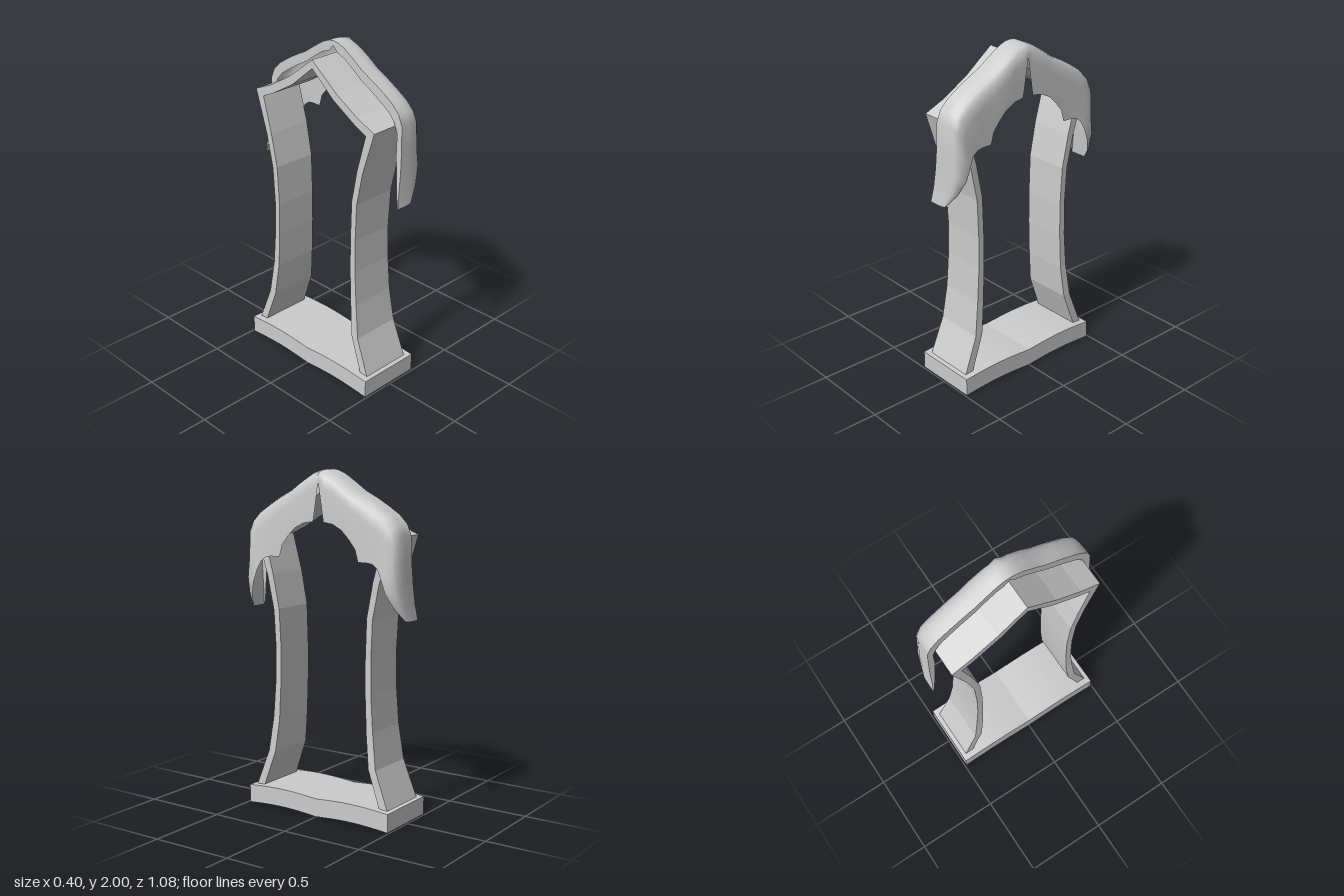
import * as THREE from 'three';

const grey = (opts = {}) => new THREE.MeshStandardMaterial({ color: 0xcccccc, ...opts });

function mesh(name, geometry, material) {
  const m = new THREE.Mesh(geometry, material);
  m.name = name;
  return m;
}

// Skin a list of equal-length cross-sections; closed joins each section end to start
function loft(sections, closed) {
  const n = sections[0].length, steps = closed ? n : n - 1, index = [];
  for (let i = 0; i < sections.length - 1; i++) {
    for (let j = 0; j < steps; j++) {
      const a = i * n + j, b = i * n + (j + 1) % n;
      index.push(a, b, b + n, a, b + n, a + n);
    }
  }
  const g = new THREE.BufferGeometry();
  g.setAttribute('position', new THREE.Float32BufferAttribute(sections.flat(2), 3));
  g.setIndex(index);
  g.computeVertexNormals();
  return g;
}

// Half frame: post and roof board, [halfWidth, outerZ, outerY, innerZ, innerY]
const FRAME = [
  [0.16, 0.467, 0.10, 0.413, 0.10],
  [0.153, 0.378, 0.33, 0.33, 0.33],
  [0.14, 0.35, 0.54, 0.307, 0.53],
  [0.137, 0.335, 0.75, 0.297, 0.75],
  [0.135, 0.332, 0.95, 0.295, 0.95],
  [0.138, 0.343, 1.18, 0.305, 1.19],
  [0.14, 0.385, 1.38, 0.345, 1.39],
  [0.14, 0.467, 1.64, 0.405, 1.61],
  [0.14, 0.34, 1.695, 0.32, 1.65],
  [0.14, 0.18, 1.79, 0.16, 1.745],
  [0.14, 0, 1.93, 0, 1.88],
];

// Half of the draped cap: [outerZ, outerY, lowerEdgeZ, lowerEdgeY, faceX, backX]
const CAP = [
  [0, 2, 0, 1.93, 0.17, 0.02],
  [0.035, 1.995, 0.035, 1.71, 0.17, 0.02],
  [0.08, 1.977, 0.1, 1.70, 0.172, 0.02],
  [0.15, 1.933, 0.16, 1.67, 0.175, 0.02],
  [0.22, 1.885, 0.21, 1.62, 0.175, 0.02],
  [0.3, 1.845, 0.25, 1.57, 0.175, 0.02],
  [0.37, 1.805, 0.27, 1.50, 0.175, 0.02],
  [0.44, 1.76, 0.33, 1.50, 0.176, 0.02],
  [0.49, 1.71, 0.365, 1.495, 0.178, 0.02],
  [0.515, 1.65, 0.40, 1.47, 0.18, 0.02],
  [0.52, 1.5, 0.425, 1.42, 0.187, 0.018],
  [0.525, 1.38, 0.455, 1.34, 0.187, 0.01],
  [0.53, 1.27, 0.49, 1.26, 0.155, -0.005],
  [0.54, 1.18, 0.525, 1.19, 0.1, -0.02],
];

function capSections(profile) {
  const mirrored = CAP.slice(1).reverse().map(([z, y, ez, ey, f, b]) => [-z, y, -ez, ey, f, b]);
  return [...mirrored, ...CAP].map(([z, y, ez, ey, f, b]) => {
    const d = Math.hypot(ez - z, ey - y);
    // each profile point: fraction across x, distance from crest towards lower edge
    return profile.map(([u, s]) => {
      const t = Math.min(s * Math.min(1, d / 0.15) / d, 1);
      return [b + (f - b) * u, y + (ey - y) * t, z + (ez - z) * t];
    });
  });
}

export function createModel() {
  const model = new THREE.Group();
  model.name = 'archway';

  // Base slab with gently wavy top and underside
  const top = [], bottom = [];
  for (let i = 0; i <= 24; i++) {
    const z = -0.49 + 0.98 * i / 24;
    const bump = Math.sin(Math.PI * Math.abs(z) / 0.49);
    bottom.push(new THREE.Vector2(z, 0.013 * bump));
    top.unshift(new THREE.Vector2(z, 0.108 + 0.013 * bump));
  }
  const slab = new THREE.ExtrudeGeometry(new THREE.Shape([...bottom, ...top]), { depth: 0.4, bevelEnabled: false });
  slab.translate(0, 0, -0.2).rotateY(Math.PI / 2);
  model.add(mesh('base', slab, grey()));

  // Two mirrored posts, each bending over into its half of the roof
  const half = loft(FRAME.map(([w, oz, oy, iz, iy]) =>
    [[-w, oy, oz], [w, oy, oz], [w, iy, iz], [-w, iy, iz]]), true);
  for (const [name, side] of [['frontPostAndRoof', 1], ['backPostAndRoof', -1]]) {
    const m = mesh(name, half, grey({ flatShading: true }));
    m.scale.z = side;
    model.add(m);
  }

  // Soft cap draped over one edge of the roof, with a scalloped lower edge
  const cap = new THREE.Group();
  cap.name = 'cap';
  const skin = [[0, 0], [0.35, 0], [0.6, 0.004], [0.8, 0.018], [0.93, 0.045], [1, 0.1], [1, 9]];
  cap.add(mesh('capSkin', loft(capSections(skin), false), grey({ side: THREE.DoubleSide })));
  // Narrow wall closing the cap's back edge down to the roof
  cap.add(mesh('capBackEdge', loft(capSections([[0, 0.06], [0, 0]]), false), grey({ side: THREE.DoubleSide })));
  model.add(cap);

  return model;
}
